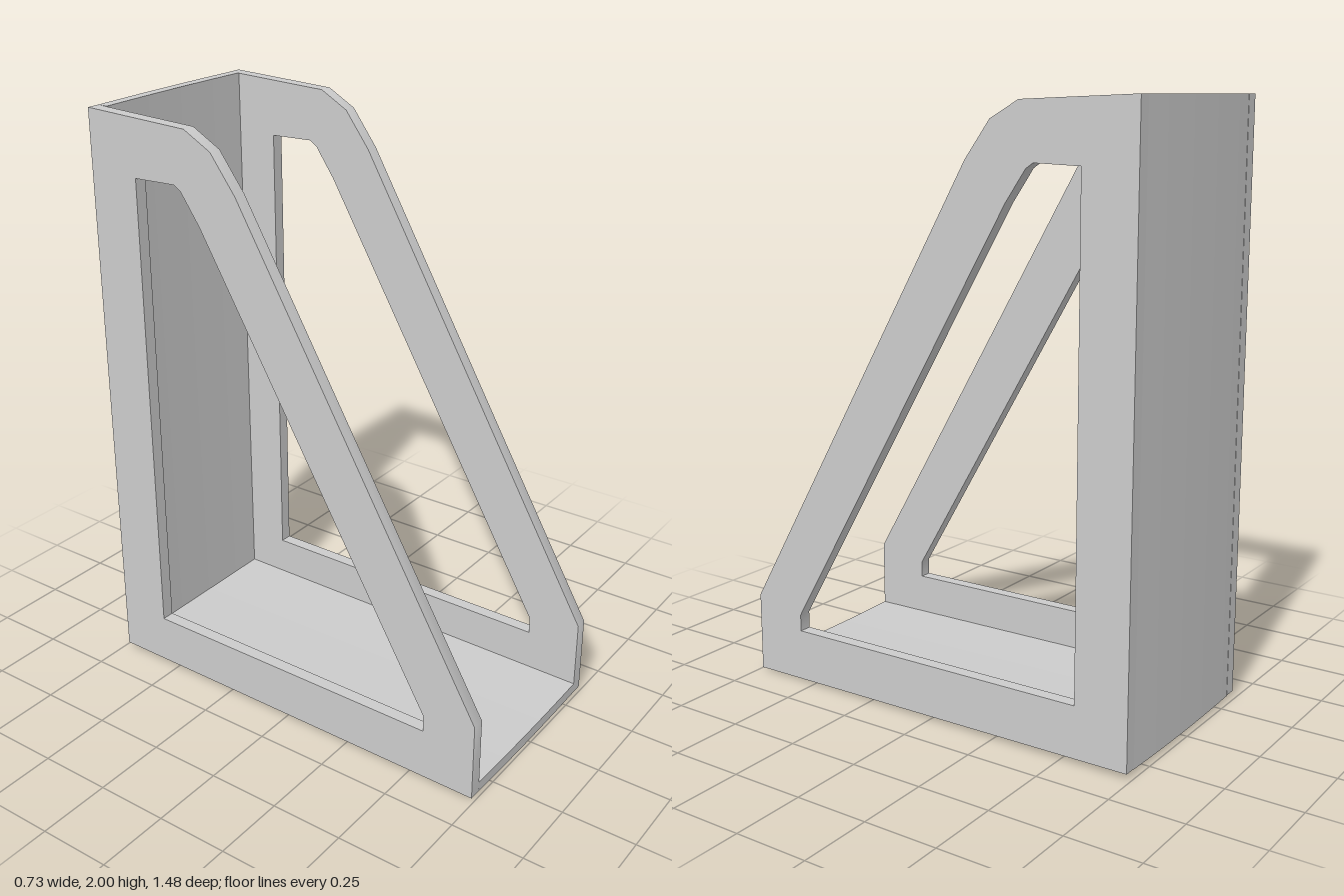
import * as THREE from 'three';
import { toCreasedNormals } from 'three/addons/utils/BufferGeometryUtils.js';

const OUTER = 0.367, INNER = 0.323;
const material = new THREE.MeshStandardMaterial({ color: 0xcccccc });

// [z, y] points, mirrored into the plane that is later turned to face sideways
const toPoints = (list) => list.map(([z, y]) => new THREE.Vector2(-z, y));

function named(name, geometry) {
  const mesh = new THREE.Mesh(toCreasedNormals(geometry, 0.6), material);
  mesh.name = name;
  return mesh;
}

// Side frame with a large cut-out, extruded across x
function sideGeometry() {
  const shape = new THREE.Shape(toPoints([
    [0.74, 0.007], [0.74, 0.28], [-0.15, 1.81], [-0.24, 1.93],
    [-0.34, 1.985], [-0.735, 2], [-0.735, 0.018],
  ]));
  // The cut-out runs the opposite way round so that its walls face inwards
  shape.holes.push(new THREE.Path(toPoints([
    [-0.55, 0.19], [-0.55, 1.802], [-0.39, 1.807], [-0.365, 1.79],
    [-0.295, 1.69], [0.553, 0.243], [0.553, 0.185],
  ])));
  return new THREE.ExtrudeGeometry(shape, { depth: OUTER - INNER, bevelEnabled: false })
    .rotateY(Math.PI / 2);
}

// Thin panel with a slightly bowed section, centred along its length
function bowedPanel(length) {
  const bow = 0.006, thick = 0.037;
  const shape = new THREE.Shape();
  shape.moveTo(-INNER, bow);
  shape.quadraticCurveTo(0, -bow, INNER, bow);
  shape.lineTo(INNER, thick + bow);
  shape.quadraticCurveTo(0, thick - bow, -INNER, thick + bow);
  shape.closePath();
  return new THREE.ExtrudeGeometry(shape, { depth: length, bevelEnabled: false, curveSegments: 10 })
    .translate(0, 0, -length / 2);
}

export function createModel() {
  const group = new THREE.Group();
  group.name = 'magazineHolder';

  // Pair of side frames
  group.add(named('leftSide', sideGeometry().translate(INNER, 0, 0)));
  group.add(named('rightSide', sideGeometry().translate(-OUTER, 0, 0)));

  // Floor, rising very slightly to the back and ending inside the back wall
  group.add(named('floor', bowedPanel(1.46).rotateX(0.008).translate(0, 0.006, 0.01)));

  // Back wall
  group.add(named('back', bowedPanel(1.985).rotateX(Math.PI / 2).translate(0, 1.0075, -0.74)));

  return group;
}
